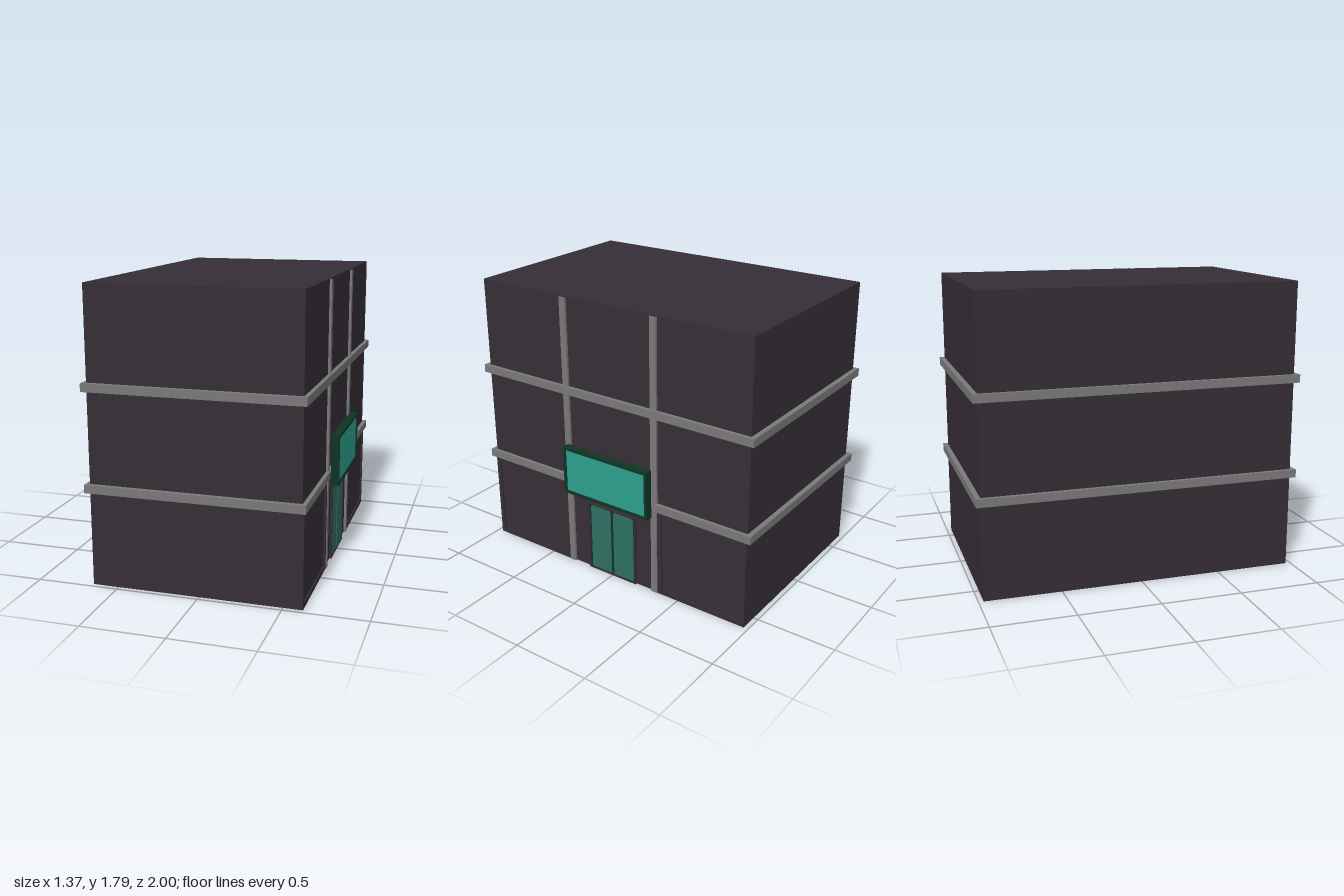
import * as THREE from 'three';

const mat = (name, color) => {
  const m = new THREE.MeshStandardMaterial({ color });
  m.name = name;
  return m;
};

// Rectangle outline centred on the origin, with optional rounded corners
function rect(Type, w, h, r = 0) {
  const s = new Type(), x = w / 2, y = h / 2;
  s.moveTo(-x + r, -y);
  s.lineTo(x - r, -y);
  if (r) s.quadraticCurveTo(x, -y, x, -y + r);
  s.lineTo(x, y - r);
  if (r) s.quadraticCurveTo(x, y, x - r, y);
  s.lineTo(-x + r, y);
  if (r) s.quadraticCurveTo(-x, y, -x, y - r);
  s.lineTo(-x, -y + r);
  if (r) s.quadraticCurveTo(-x, -y, -x + r, -y);
  s.closePath();
  return s;
}

export function createModel() {
  const wall = mat('dark plum wall', 0x362e36);
  const trim = mat('grey trim', 0x797979);
  const darkGreen = mat('dark green frame', 0x0f3424);
  const teal = mat('teal sign face', 0x2d9f8d);
  const glass = mat('green glass', 0x2d7064);
  const model = new THREE.Group();
  model.name = 'building';

  const add = (name, geometry, material, x = 0, y = 0, z = 0) => {
    const m = new THREE.Mesh(geometry, material);
    m.name = name;
    m.position.set(x, y, z);
    model.add(m);
    return m;
  };
  // Box given by its limits on each axis
  const box = (name, material, x0, x1, y0, y1, z0, z1) =>
    add(name, new THREE.BoxGeometry(x1 - x0, y1 - y0, z1 - z0), material,
      (x0 + x1) / 2, (y0 + y1) / 2, (z0 + z1) / 2);
  // Plate on the entrance side, from x0 to x1, with an optional opening
  const plate = (name, material, x0, x1, y, z, w, h, border = 0, r = 0) => {
    const s = rect(THREE.Shape, w, h, r);
    if (border) s.holes.push(rect(THREE.Path, w - 2 * border, h - 2 * border));
    const g = new THREE.ExtrudeGeometry(s, { depth: x1 - x0, bevelEnabled: false, curveSegments: 4 });
    g.rotateY(Math.PI / 2);
    return add(name, g, material, x0, y, z);
  };

  // Main block
  box('mainBlock', wall, -0.66, 0.606, 0, 1.79, -0.97, 0.97);

  // Floor bands running right round
  for (const y of [0.6, 1.2]) box('floorBand', trim, -0.685, 0.63, y - 0.025, y + 0.025, -1, 1);

  for (const side of [-1, 1]) {
    // Pillars with dark tops
    const z = side * 0.327;
    box('pillar', trim, 0.59, 0.62, 0, 1.785, z - 0.022, z + 0.022);
    box('pillarCap', wall, 0.59, 0.62, 1.785, 1.79, z - 0.022, z + 0.022);
    // Raised frames round the ground-floor bays
    plate('bayFrame', wall, 0.6, 0.616, 0.2875, side * 0.66, 0.62, 0.575, 0.03);
  }

  // Entrance: surround, door frame and two glass leaves
  plate('doorSurround', wall, 0.6, 0.62, 0.2375, 0, 0.37, 0.475, 0.012);
  box('doorFrame', darkGreen, 0.6, 0.61, 0, 0.463, -0.173, 0.173);
  for (const side of [-1, 1])
    plate('doorGlass', glass, 0.606, 0.614, 0.231, side * 0.087, 0.154, 0.446, 0, 0.015);

  // Sign box with a recessed face
  box('signBack', darkGreen, 0.63, 0.667, 0.53, 0.845, -0.318, 0.318);
  plate('signFrame', darkGreen, 0.665, 0.68, 0.6875, 0, 0.636, 0.315, 0.018);
  plate('signFace', teal, 0.666, 0.672, 0.6875, 0, 0.602, 0.281);
  box('signMount', darkGreen, 0.6, 0.632, 0.6, 0.78, -0.2, 0.2);

  return model;
}
